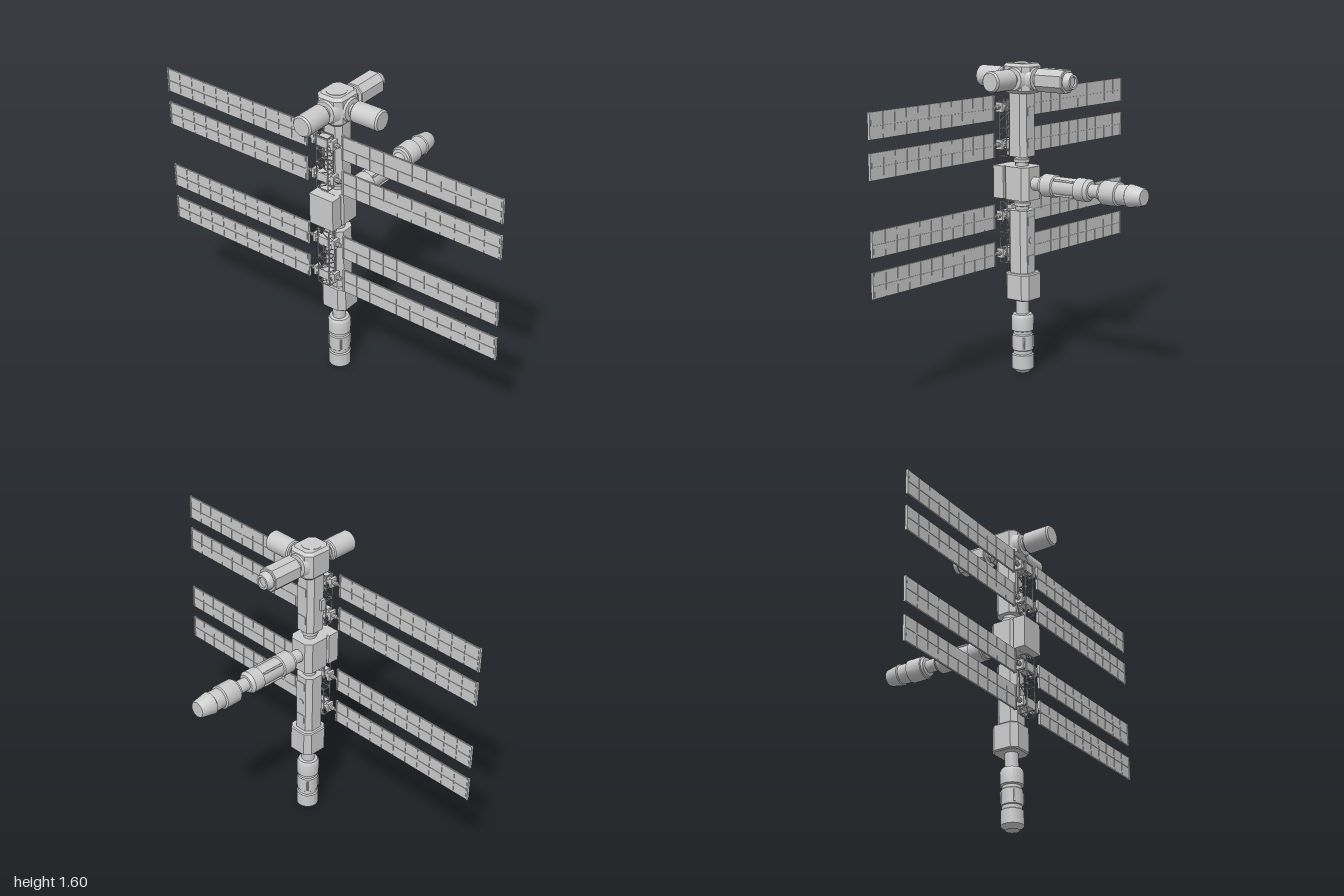
import * as THREE from 'three';
import { toCreasedNormals } from 'three/addons/utils/BufferGeometryUtils.js';

const AXIS_Z = 0.25; // depth of the main spine
const UP = new THREE.Vector3(0, 1, 0);
const mat = new THREE.MeshStandardMaterial({ color: 0xcccccc });

export function createModel() {
  const model = new THREE.Group();

  function add(parent, name, geometry, x = 0, y = 0, z = 0) {
    const m = new THREE.Mesh(geometry, mat);
    m.name = name;
    m.position.set(x, y, z);
    parent.add(m);
    return m;
  }
  const box = (parent, name, w, h, d, x, y, z) =>
    add(parent, name, new THREE.BoxGeometry(w, h, d), x, y, z);

  // Turned body: profile pairs [radius, distance along axis]
  function turned(parent, name, pts, origin, dir = [0, 1, 0], sides = 20) {
    const profile = pts.map(([r, h]) => new THREE.Vector2(r, h));
    const g = toCreasedNormals(new THREE.LatheGeometry(profile, sides), 0.5);
    const m = add(parent, name, g, ...origin);
    m.quaternion.setFromUnitVectors(UP, new THREE.Vector3(...dir));
    return m;
  }

  // Straight rod between two points
  function rod(parent, name, a, b, r, sides = 5) {
    const p = new THREE.Vector3(...a), q = new THREE.Vector3(...b);
    const m = add(parent, name, new THREE.CylinderGeometry(r, r, p.distanceTo(q), sides));
    m.position.copy(p).lerp(q, 0.5);
    m.quaternion.setFromUnitVectors(UP, q.sub(p).normalize());
  }

  // Upright prism with chamfered corners and optional bevelled ends
  function prism(name, w, d, y0, y1, c, bevel = 0, z = AXIS_Z) {
    const a = w / 2 - bevel, b = d / 2 - bevel;
    const shape = new THREE.Shape([
      [a, -b + c], [a, b - c], [a - c, b], [-a + c, b],
      [-a, b - c], [-a, -b + c], [-a + c, -b], [a - c, -b],
    ].map(([x, y]) => new THREE.Vector2(x, y)));
    const g = new THREE.ExtrudeGeometry(shape, {
      depth: y1 - y0 - 2 * bevel, bevelEnabled: bevel > 0,
      bevelSize: bevel, bevelThickness: bevel, bevelSegments: 1,
    });
    g.translate(0, 0, bevel).rotateX(-Math.PI / 2);
    return add(model, name, toCreasedNormals(g, 0.3), 0, y0, z);
  }

  // Spine: nodes and long modules, bottom to top
  prism('lowerNode', 0.15, 0.15, 0.39, 0.53, 0.025, 0.006, 0.245);
  prism('lowerCore', 0.115, 0.115, 0.525, 0.855, 0.025);
  prism('midNode', 0.146, 0.155, 0.91, 1.08, 0.028, 0, 0.2475);
  box(model, 'midNodeFront', 0.142, 0.168, 0.065, 0, 0.995, 0.3475);
  prism('upperCore', 0.115, 0.115, 1.13, 1.46, 0.025);
  prism('topNode', 0.15, 0.17, 1.45, 1.6, 0.022, 0.015, 0.245);
  turned(model, 'topHatch', [[0.05, 0], [0.05, 0.004], [0, 0.004]], [0, 1.598, AXIS_Z]);
  for (const [y0, y1] of [[0.85, 0.915], [1.075, 1.135]]) {
    const h = y1 - y0;
    turned(model, 'spineNeck', [[0.034, 0], [0.034, h * 0.35], [0.042, h * 0.4],
      [0.042, h * 0.65], [0.034, h * 0.7], [0.034, h]], [0, y0, AXIS_Z]);
  }

  // Lobed module hanging below the lower node
  turned(model, 'lowerModule', [
    [0, 0], [0.035, 0], [0.04, 0.008], [0.05, 0.015], [0.057, 0.022], [0.057, 0.095],
    [0.05, 0.1], [0.05, 0.118], [0.054, 0.122], [0.054, 0.2], [0.048, 0.205], [0.048, 0.22],
    [0.058, 0.225], [0.058, 0.295], [0.05, 0.31], [0.034, 0.312], [0.034, 0.395],
  ], [0, 0, AXIS_Z]);

  // Long module reaching back from the middle node
  turned(model, 'rearModule', [
    [0.034, 0], [0.034, 0.055], [0.05, 0.058], [0.05, 0.068], [0.058, 0.073], [0.058, 0.14],
    [0.05, 0.145], [0.05, 0.275], [0.058, 0.28], [0.058, 0.34], [0.05, 0.35], [0.045, 0.356],
    [0.034, 0.358], [0.034, 0.42], [0.05, 0.423], [0.055, 0.435], [0.061, 0.438],
    [0.061, 0.525], [0.052, 0.53], [0.052, 0.585], [0.058, 0.59], [0.045, 0.662],
    [0.04, 0.67], [0, 0.67],
  ], [0, 0.995, 0.17], [0, 0, -1]);
  for (let i = 0; i < 4; i++) {
    const a = (i + 0.5) * Math.PI / 2, x = Math.cos(a), y = Math.sin(a);
    // Handrails along both lobed modules
    rod(model, 'handrail', [x * 0.053, 0.995 + y * 0.053, 0.02],
      [x * 0.053, 0.995 + y * 0.053, -0.1], 0.006);
    rod(model, 'handrail', [x * 0.055, 0.13, AXIS_Z + y * 0.055],
      [x * 0.055, 0.19, AXIS_Z + y * 0.055], 0.005);
  }

  // Modules around the top node
  const canister = (r, len) => [
    [0.072, -0.02], [0.055, 0.01], [0.034, 0.012], [0.034, 0.03], [r - 0.006, 0.032],
    [r, 0.038], [r, len - 0.008], [r - 0.008, len], [0, len],
  ];
  turned(model, 'frontCanister', canister(0.054, 0.18), [0, 1.522, 0.33], [0, 0, 1], 24);
  turned(model, 'sideCanister', canister(0.053, 0.185), [0.075, 1.522, AXIS_Z - 0.01],
    [1, 0, 0], 24);
  turned(model, 'rearNeck', [[0.068, -0.015], [0.055, 0.008], [0.036, 0.01], [0.036, 0.04]],
    [0, 1.522, 0.16], [0, 0, -1]);
  const airlock = prism('topRearModule', 0.112, 0.116, 0, 0.17, 0.028, 0.004);
  airlock.rotation.x = -Math.PI / 2;
  airlock.position.set(0, 1.522, 0.13);
  turned(model, 'dockingPort', [
    [0.046, 0], [0.046, 0.015], [0.037, 0.032], [0.037, 0.037], [0.026, 0.037],
    [0.026, 0.025], [0, 0.025],
  ], [0, 1.522, -0.038], [0, 0, -1]);

  // Small equipment boxes and hatches on the spine
  box(model, 'equipmentBox', 0.016, 0.06, 0.03, -0.063, 1.28, 0.27);
  turned(model, 'rearHatch', [[0.018, 0], [0.018, 0.005], [0, 0.005]],
    [0, 0.7, 0.194], [0, 0, -1], 12);
  for (const y of [0.6, 0.8, 1.2, 1.36])
    box(model, 'servicePanel', 0.05, 0.045, 0.006, 0, y, 0.192);

  // Lattice truss in front of each long module
  const TX = 0.034, TZ0 = 0.323, TZ1 = 0.366;
  function truss(y0, y1) {
    const g = new THREE.Group();
    g.name = 'truss';
    model.add(g);
    const bays = 8, step = (y1 - y0) / bays;
    for (const x of [-TX, TX])
      for (const z of [TZ0, TZ1]) rod(g, 'trussRail', [x, y0, z], [x, y1, z], 0.0035);
    for (let i = 0; i <= bays; i++) {
      const y = y0 + i * step, s = i % 2 ? 1 : -1;
      for (const z of [TZ0, TZ1]) {
        if (i % 2 === 0) rod(g, 'trussRung', [-TX, y, z], [TX, y, z], 0.003);
        if (i < bays) rod(g, 'trussBrace', [s * TX, y, z], [-s * TX, y + step, z], 0.0025);
      }
      if (i % 2 === 0) for (const x of [-TX, TX]) {
        rod(g, 'trussRung', [x, y, TZ0], [x, y, TZ1], 0.003);
      }
    }
    for (const y of [y0 + 0.02, y1 - 0.02])
      box(g, 'trussMount', 0.05, 0.02, 0.03, 0, y, 0.312);
  }
  truss(0.57, 0.885);
  truss(1.12, 1.405);

  // Solar wing, built towards +x: arm, frame and two rows of raised cells
  function wing(y, side) {
    const g = new THREE.Group();
    g.name = side > 0 ? 'leftSolarWing' : 'rightSolarWing';
    g.position.set(0, y, 0.345);
    if (side < 0) g.rotation.y = Math.PI;
    model.add(g);
    turned(g, 'wingArm', [[0.02, 0.02], [0.02, 0.058], [0.012, 0.062], [0.012, 0.085],
      [0.007, 0.09], [0.007, 0.108]], [0, 0, 0], [1, 0, 0], 10);
    box(g, 'armCollar', 0.016, 0.05, 0.04, 0.058, 0, 0);
    const x0 = 0.105, x1 = 1, h = 0.13, n = 11, cw = (x1 - x0 - 0.016) / n;
    box(g, 'panelSheet', x1 - x0, h, 0.005, (x0 + x1) / 2, 0, 0);
    for (const x of [x0 + 0.004, x1 - 0.004]) box(g, 'panelEnd', 0.008, h, 0.014, x, 0, 0);
    for (let i = 0; i < n; i++)
      for (const s of [-1, 1])
        box(g, 'solarCell', cw - 0.006, h / 2 - 0.005, 0.01,
          x0 + 0.008 + (i + 0.5) * cw, s * h / 4, 0);
  }
  for (const y of [0.625, 0.82, 1.185, 1.375]) {
    box(model, 'wingJoint', 0.06, 0.045, 0.046, 0, y, 0.345);
    wing(y, 1);
    wing(y, -1);
  }
  return model;
}
